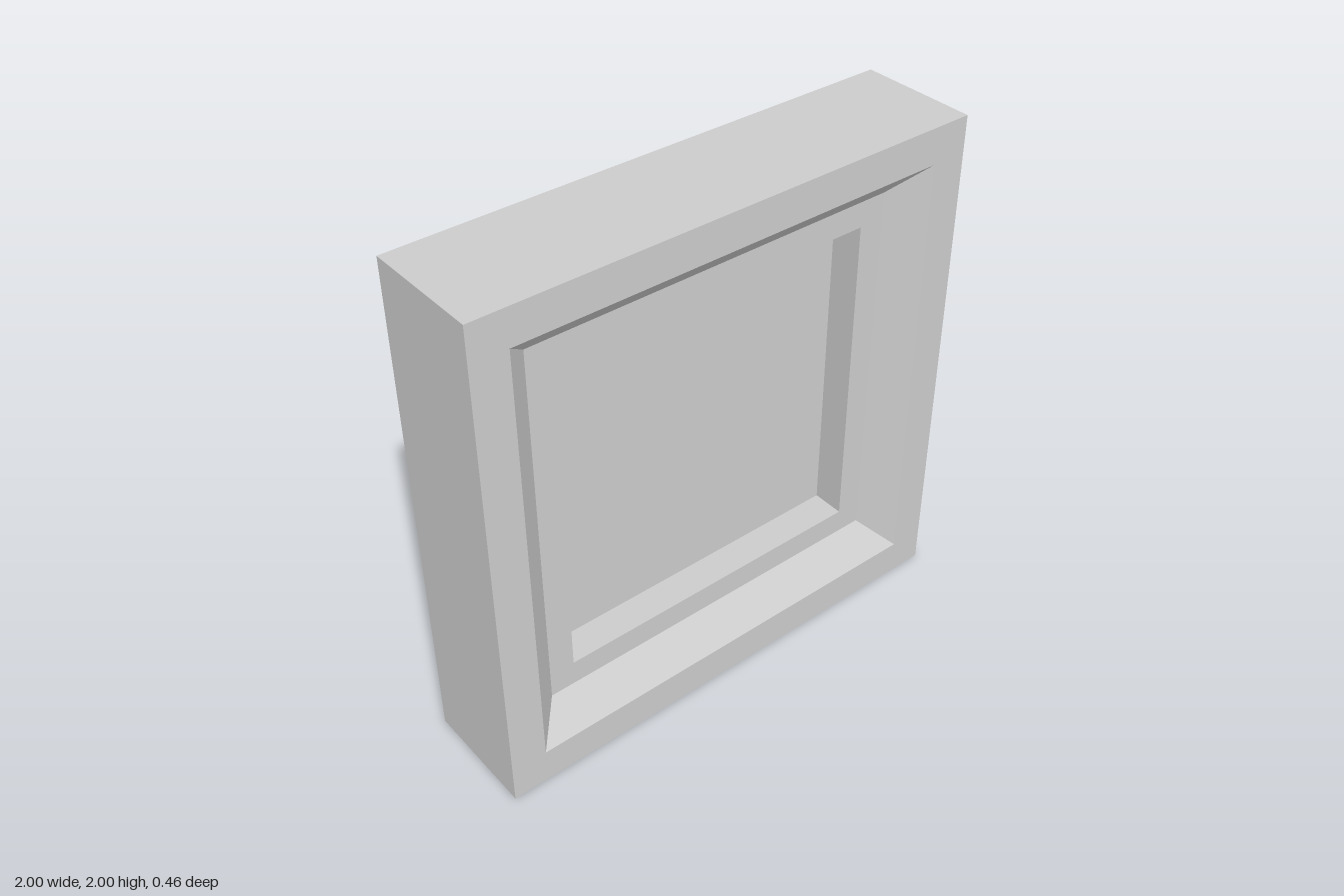
import * as THREE from 'three';

export function createModel() {
  const model = new THREE.Group();
  model.name = 'recessedPanel';
  const grey = new THREE.MeshStandardMaterial({ color: 0xcccccc });
  grey.name = 'lightGrey';

  const front = 0.232, back = -0.232;
  const ledge = front - 0.115; // bottom of the sloped bevel
  const floor = ledge - 0.13; // bottom of the straight recess

  const add = (name, geometry, z = 0) => {
    const mesh = new THREE.Mesh(geometry, grey);
    mesh.name = name;
    mesh.position.set(0, 1, z);
    model.add(mesh);
    return mesh;
  };

  // Square ring swept from [half width, z] profile points, with flat faces
  const squareRing = (name, profile) => {
    const points = profile.map(([half, z]) => new THREE.Vector2(half * Math.SQRT2, z));
    const geometry = new THREE.LatheGeometry(points, 4, Math.PI / 4)
      .rotateX(Math.PI / 2).toNonIndexed();
    geometry.computeVertexNormals();
    return add(name, geometry);
  };

  // Outer sides and front rim
  squareRing('frame', [[1, back], [1, front], [0.86, front]]);
  // Sloped border down to the ledge
  squareRing('bevel', [[0.86, front], [0.745, ledge]]);
  // Flat ledge and straight walls of the recess
  squareRing('recess', [[0.745, ledge], [0.645, ledge], [0.645, floor]]);
  // Recessed panel and closed back
  add('panel', new THREE.PlaneGeometry(1.29, 1.29), floor);
  add('backPanel', new THREE.PlaneGeometry(2, 2).rotateY(Math.PI), back);

  return model;
}
